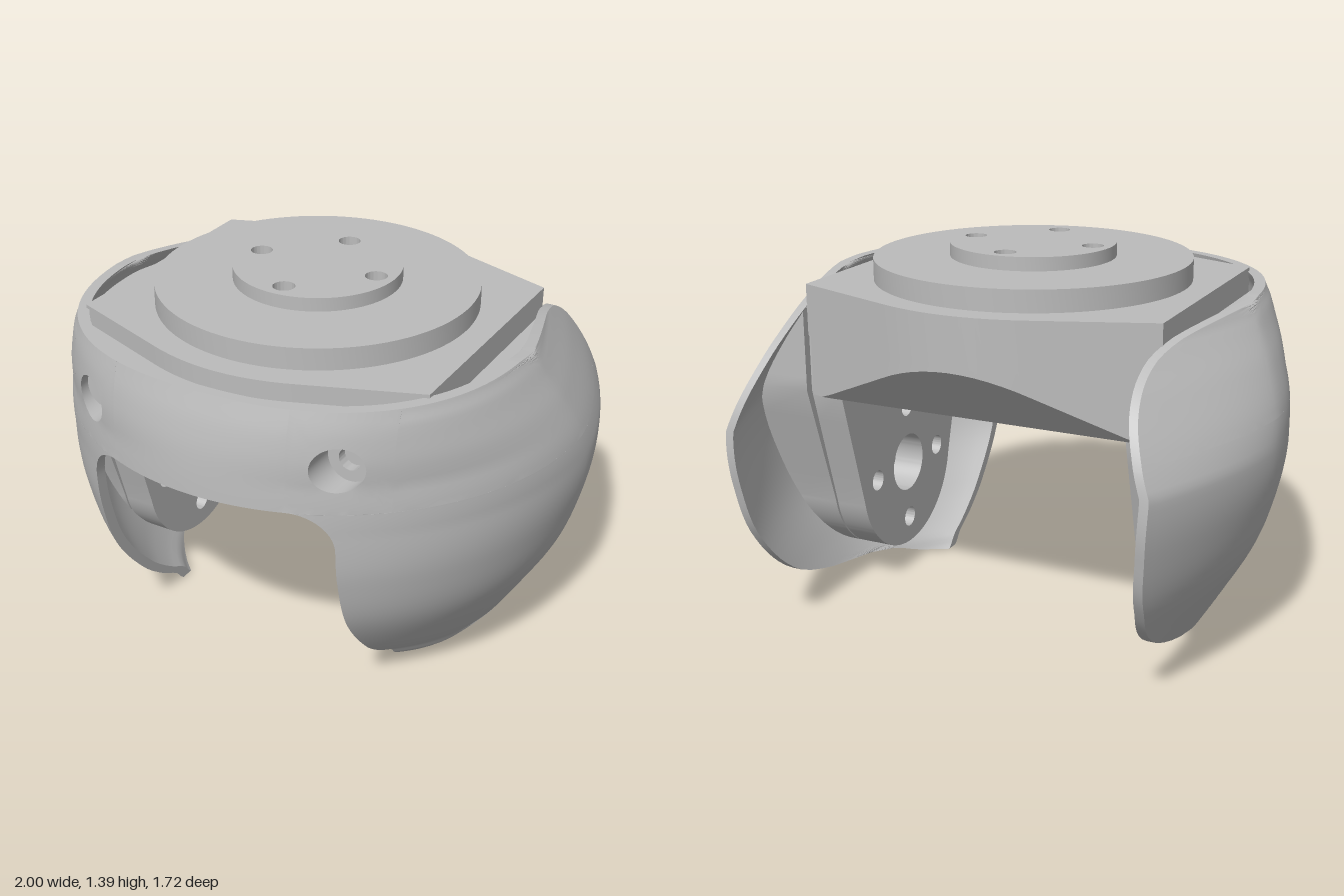
import * as THREE from 'three';
import { mergeGeometries, toCreasedNormals } from 'three/addons/utils/BufferGeometryUtils.js';

// Shell table by height: y, half width, front depth, z of the rear edge
const TABLE = [
  [0, .70, .42, .19], [.015, .705, .44, .11], [.05, .72, .47, 0], [.1, .75, .558, -.33],
  [.2, .81, .67, -.61], [.4, .92, .797, -.79], [.6, .98, .85, -.85], [.75, 1, .862, -.86],
  [.9, .985, .862, -.83], [1.05, .93, .85, -.73], [1.15, .88, .83, -.58], [1.2, .855, .815, -.4],
  [1.23, .838, .805, -.15], [1.247, .83, .8, .1],
];
const TOP = 1.247, ARCH = 0.89, WALL = 0.04;
const HOLE_X = 0.485, HOLE_Y = 1.05;
const clamp = THREE.MathUtils.clamp;

// Smooth lookup of one table column
function look(y, c) {
  let i = 0;
  while (i < TABLE.length - 2 && y > TABLE[i + 1][0]) i++;
  const P = (k) => TABLE[clamp(k, 0, TABLE.length - 1)];
  const slope = (k) => (P(k + 1)[c] - P(k - 1)[c]) / (P(k + 1)[0] - P(k - 1)[0]);
  const h = P(i + 1)[0] - P(i)[0], t = clamp((y - P(i)[0]) / h, 0, 1), t2 = t * t, t3 = t2 * t;
  return (2 * t3 - 3 * t2 + 1) * P(i)[c] + (t3 - 2 * t2 + t) * h * slope(i)
    + (3 * t2 - 2 * t3) * P(i + 1)[c] + (t3 - t2) * h * slope(i + 1);
}

// Plan outline at height y: an oval in front of its widest point zc, a falling curve behind it
function plan(y, inset) {
  const t = clamp((y - 0.8) / 0.4, 0, 1), zc = -0.18 * (1 - t);
  const W = look(y, 1) - inset, Z = look(y, 2) - inset - zc;
  const e = 2 + 0.35 * clamp((y - 0.98) / 0.27, 0, 1);
  return {
    fromX: (x) => Math.asin(Math.min(1, (x / W) ** (e / 2))) * 2 / Math.PI,
    fromZ: (z) => (z < zc ? 1 + zc - z : Math.acos(Math.min(1, ((z - zc) / Z) ** (e / 2))) * 2 / Math.PI),
    at(q) {
      if (q >= 1) return [W * (1 - (0.4 + 0.05 * t) * (q - 1) ** (1.6 - 0.4 * t)), y, zc + 1 - q];
      const a = q * Math.PI / 2;
      return [W * Math.sin(a) ** (2 / e), y, zc + Z * Math.max(0, Math.cos(a)) ** (2 / e)];
    },
    frontZ: (x) => zc + Z * (1 - (Math.abs(x) / W) ** e) ** (1 / e),
  };
}
const frontZ = (x, y, inset) => plan(y, inset).frontZ(x);

// Skin over rows of closed rings of points
function skin(rows, { closeRows = false, flip = false } = {}) {
  const n = rows[0].length, idx = [], R = rows.length;
  for (let i = 0; i < (closeRows ? R : R - 1); i++) {
    for (let j = 0; j < n; j++) {
      const k = (i + 1) % R, m = (j + 1) % n;
      const a = i * n + j, b = i * n + m, c = k * n + m, d = k * n + j;
      if (flip) idx.push(a, c, b, a, d, c);
      else idx.push(a, b, c, a, c, d);
    }
  }
  const g = new THREE.BufferGeometry();
  g.setAttribute('position', new THREE.Float32BufferAttribute(rows.flat(2), 3));
  g.setIndex(idx);
  return g.toNonIndexed();
}

// Side cheek of the shell: rings of outer then inner points, stacked in height
function cheek(side) {
  const N = 36, rows = [];
  const ring = (y, cut) => {
    const line = (inset) => {
      const p = plan(y, inset), q0 = p.fromX(cut), q1 = Math.max(q0, p.fromZ(look(y, 3)));
      return Array.from({ length: N + 1 }, (_, j) => {
        const v = p.at(q0 + (q1 - q0) * j / N);
        return [v[0] * side, v[1], v[2]];
      });
    };
    rows.push([...line(0), ...line(WALL).reverse()]);
  };
  for (let i = 0; i <= 40; i++) {
    const y = ARCH * (1 - Math.cos(Math.PI * i / 40)) / 2;
    const c = clamp((y - 0.74) / 0.15, 0, 1);
    ring(y, 0.335 + 0.15 * Math.sqrt(1 - c * c));
  }
  for (let i = 0; i <= 24; i++) ring(ARCH + (TOP - ARCH) * Math.sin(Math.PI / 2 * i / 24), 0.635);
  // close the lower and upper rims
  const collapse = (r) => r.map((_, j) => r[Math.max(j, r.length - 1 - j)]);
  rows.unshift(collapse(rows[0]));
  rows.push(collapse(rows[rows.length - 1]));
  return skin(rows, { flip: side < 0 });
}

// Front band above the arch
function band() {
  const rows = [], M = 12;
  for (let i = 0; i <= 24; i++) {
    const x = -0.335 + 0.67 * i / 24;
    const line = (inset) => Array.from({ length: M + 1 }, (_, j) => {
      const y = ARCH + (TOP - ARCH) * j / M;
      return [x, y, frontZ(x, y, inset)];
    });
    rows.push([...line(0), ...line(WALL).reverse()]);
  }
  return skin(rows, { flip: true });
}

// Piece of the front with a counterbored screw hole and a boss behind it
function screwPatch(side) {
  const cx = HOLE_X, cy = HOLE_Y, K = 48, rows = [];
  for (let k = 0; k < K; k++) {
    const a = Math.PI * 2 * k / K, c = Math.cos(a), s = Math.sin(a), m = Math.max(Math.abs(c), Math.abs(s));
    const bx = 0.15 * c / m, by = (s > 0 ? TOP - cy : cy - ARCH) * s / m;
    const row = [];
    const put = (x, y, z) => row.push([side * (cx + x), cy + y, z]);
    const face = (r, t, inset) => {
      const x = bx + (r * c - bx) * t, y = by + (r * s - by) * t;
      put(x, y, frontZ(cx + x, cy + y, inset));
    };
    for (let i = 0; i <= 4; i++) face(0.08, i / 4, 0);
    for (const [r, z] of [[.08, .64], [.04, .64], [.04, .575], [.1, .575]]) put(r * c, r * s, z);
    for (let i = 4; i >= 0; i--) face(0.1, i / 4, WALL);
    rows.push(row);
  }
  return skin(rows, { closeRows: true, flip: side > 0 });
}

function circle(path, x, y, r) {
  path.absarc(x, y, r, 0, Math.PI * 2, false);
  return path;
}
function addHoles(shape, list) {
  for (const [x, y, r] of list) shape.holes.push(circle(new THREE.Path(), x, y, r));
  return shape;
}
const bolts = (cx, cy, r, s) => [[cx + r, cy, s], [cx - r, cy, s], [cx, cy + r, s], [cx, cy - r, s]];

// Depth of the mounting block across its width
function blockZ(x) {
  const a = Math.abs(x);
  return a > 0.25 ? 0.635 - (a - 0.25) * 0.16 / 0.43 : 0.678 - 0.69 * a * a;
}
const steps = (a, b, n) => Array.from({ length: n + 1 }, (_, i) => a + (b - a) * i / n);

// Tapered outline with a round lower end, in z and y
const EAR_Y = 0.445;
function earShape(half, top) {
  const s = new THREE.Shape();
  s.moveTo(half, top);
  for (const y of steps(top, 0.86, 6).slice(1)) s.lineTo(half, y);
  const taper = (side, t) => s.lineTo(side * (half + (0.333 - half) * t), 0.86 + (EAR_Y - 0.928) * t);
  for (const t of [.25, .5, .75]) taper(1, t);
  s.absarc(0, EAR_Y, 0.34, -0.2, Math.PI + 0.2, true);
  for (const t of [.75, .5, .25]) taper(-1, t);
  for (const y of steps(0.86, top, 6)) s.lineTo(-half, y);
  for (const z of steps(-half, half, 10).slice(1, -1)) s.lineTo(z, top);
  return s;
}

export function createModel() {
  const group = new THREE.Group();
  const grey = new THREE.MeshStandardMaterial({ color: 0xbcbcbc });
  grey.name = 'satin grey';
  const add = (name, geometry, crease = 0.5) => {
    const mesh = new THREE.Mesh(toCreasedNormals(geometry, crease), grey);
    mesh.name = name;
    group.add(mesh);
  };

  // Curved cover
  add('coverShell', mergeGeometries([cheek(1), cheek(-1), band(), screwPatch(1), screwPatch(-1)]), 0.6);

  // Flat plates stacked on top, with four through holes
  const plate = (name, shape, y0, y1) => {
    addHoles(shape, bolts(0, 0, 0.235, 0.04));
    const g = new THREE.ExtrudeGeometry(shape, { depth: y1 - y0, bevelEnabled: false, curveSegments: 48 });
    add(name, g.rotateX(-Math.PI / 2).translate(0, y0, 0));
  };
  const xs = steps(-0.68, 0.68, 28);
  const outline = [...xs.map((x) => new THREE.Vector2(x, -blockZ(x))),
    ...xs.map((x) => new THREE.Vector2(-x, blockZ(x)))];
  plate('mountingBlock', new THREE.Shape(outline), 1.07, 1.26);
  plate('largeDisc', circle(new THREE.Shape(), 0, 0, 0.585), 1.26, 1.34);
  plate('smallDisc', circle(new THREE.Shape(), 0, 0, 0.305), 1.34, 1.39);

  // Sweep of a section across x, closed at both ends
  const sweep = (name, stations, section, flip) => {
    const rows = stations.map(section);
    const cap = (r) => {
      const mid = [0, 1, 2].map((c) => r.reduce((sum, p) => sum + p[c], 0) / r.length);
      return r.map(() => mid);
    };
    add(name, skin([cap(rows[0]), ...rows, cap(rows[rows.length - 1])], { flip }));
  };

  // Front and back beams: sloped outside, hollowed to a round tunnel inside
  for (const s of [1, -1]) {
    sweep(s > 0 ? 'frontBeam' : 'backBeam', xs.map((x) => x * 0.98), (x) => {
      const zm = blockZ(x);
      const section = [[zm, 1.08], [zm, 0.85 + Math.max(0, zm - 0.5) * 1.2], [Math.min(0.5, zm), 0.85]];
      for (const z of [.47, .43, .38, .33, .285]) section.push([z, 0.41 + Math.sqrt(0.66 ** 2 - z * z)]);
      section.push([0.285, 1.08]);
      return section.map(([z, y]) => [x, y, z * s]);
    }, s < 0);
  }

  // Ledge behind the front of the cover, following the block with a narrow gap and clear of the screw holes
  sweep('frontLedge', steps(-0.66, 0.66, 96), (x) => {
    const back = blockZ(x) + 0.012;
    const front = steps(0.9, 1.2, 20).map((y) => {
      const inHole = Math.hypot(Math.abs(x) - HOLE_X, y - HOLE_Y) < 0.1;
      return [x, y, inHole ? 0.6 : frontZ(x, y, 0.02)];
    });
    return [...front, [x, 1.2, back], [x, 0.9, back]];
  }, true);

  // Side ears with a shaft hole and four bolt holes, and pads joining them to the cover
  const extrude = (shape, depth) => new THREE.ExtrudeGeometry(shape, { depth, bevelEnabled: false, curveSegments: 40 });
  const ear = addHoles(earShape(0.47, 1.1), [[0, EAR_Y, 0.115], ...bolts(0, EAR_Y, 0.235, 0.04)]);
  for (const s of [1, -1]) {
    const name = s > 0 ? 'left' : 'right';
    add(name + 'Ear', extrude(ear, 0.125).rotateY(Math.PI / 2).translate(s > 0 ? 0.555 : -0.68, 0, 0));

    // Outer face of the pad is moved into the cover wall
    const pad = extrude(earShape(0.49, 1.17), 1).rotateY(Math.PI / 2).translate(s > 0 ? 0 : -1, 0, 0);
    const p = pad.attributes.position;
    for (let i = 0; i < p.count; i++) {
      const outer = Math.abs(p.getX(i)) > 0.5, y = p.getY(i), c = plan(y, 0.02);
      p.setX(i, s * (outer ? Math.max(0.695, c.at(c.fromZ(p.getZ(i)))[0]) : 0.688));
    }
    add(name + 'Pad', pad);
  }
  return group;
}
